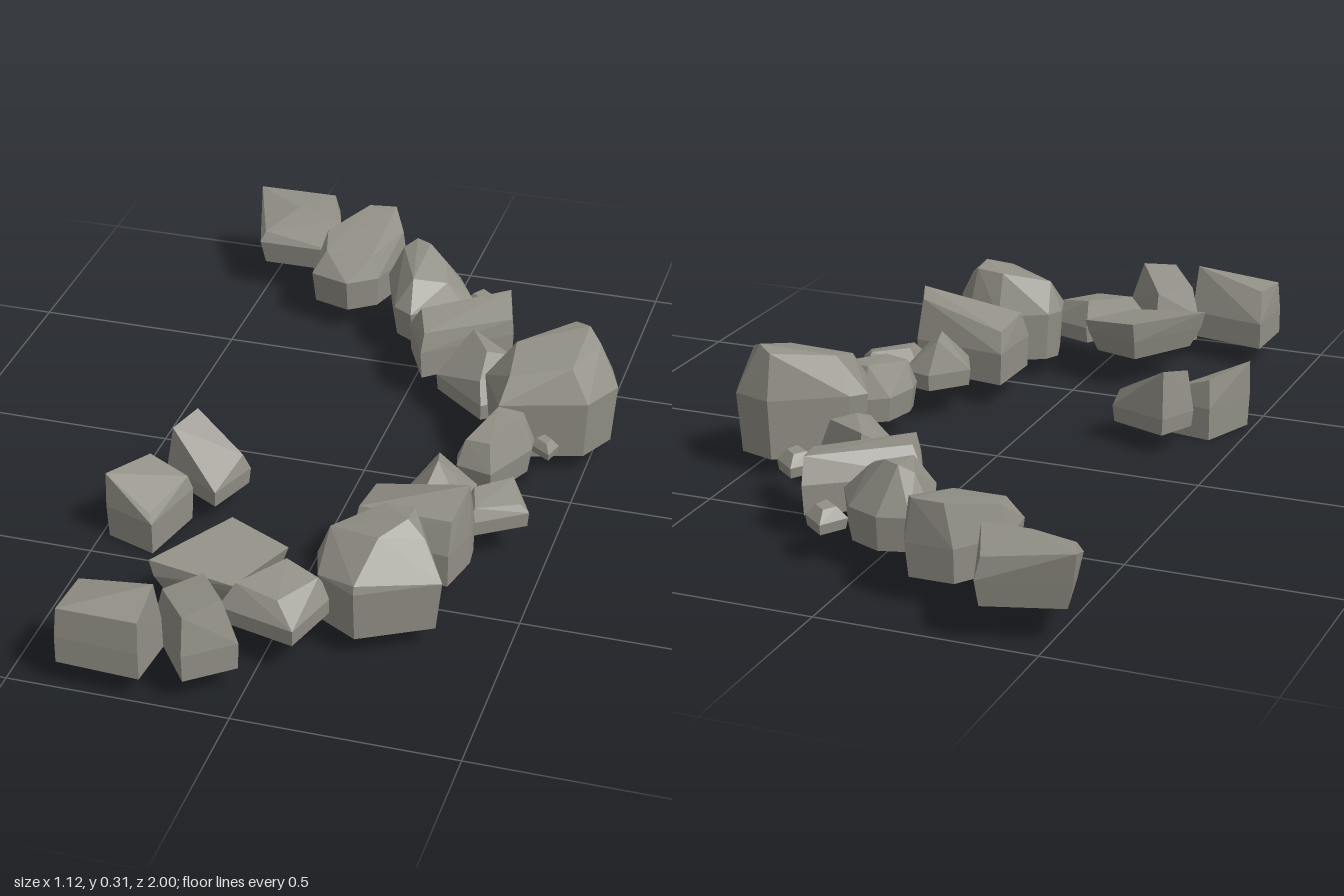
import * as THREE from 'three';
import { ConvexGeometry } from 'three/addons/geometries/ConvexGeometry.js';

export function createModel() {
  const group = new THREE.Group();
  const stone = new THREE.MeshStandardMaterial({ color: 0x929086, flatShading: true });
  stone.name = 'grey stone';

  // A faceted boulder: tapered base at y0, widest outline at yMid, and cut top corners.
  // outline is x,z pairs; top is x,y,z triples.
  function rock(name, y0, yMid, taper, outline, top) {
    const n = outline.length / 2, pts = [];
    let cx = 0, cz = 0;
    for (let i = 0; i < n; i++) {
      cx += outline[2 * i] / n;
      cz += outline[2 * i + 1] / n;
    }
    for (let i = 0; i < n; i++) {
      const x = outline[2 * i], z = outline[2 * i + 1];
      pts.push(new THREE.Vector3(cx + (x - cx) * taper, y0, cz + (z - cz) * taper));
      pts.push(new THREE.Vector3(x, yMid, z));
    }
    for (let i = 0; i < top.length; i += 3) pts.push(new THREE.Vector3(top[i], top[i + 1], top[i + 2]));
    const mesh = new THREE.Mesh(new ConvexGeometry(pts), stone);
    mesh.name = name;
    group.add(mesh);
  }

  // Back arm of the arc
  rock('backEndRock', 0.08, 0.14, 0.9,
    [-0.55, -0.94, -0.36, -1, -0.3, -0.82, -0.3, -0.775, -0.51, -0.775],
    [-0.56, 0.21, -0.95, -0.37, 0.19, -0.99, -0.31, 0.2, -0.84, -0.43, 0.21, -0.86, -0.5, 0.165, -0.79]);
  rock('backHexRock', 0.06, 0.14, 0.93,
    [-0.26, -0.87, -0.15, -0.87, -0.12, -0.8, -0.16, -0.67, -0.23, -0.62, -0.33, -0.65, -0.34, -0.75],
    [-0.24, 0.24, -0.87, -0.17, 0.243, -0.875, -0.13, 0.215, -0.8, -0.18, 0.195, -0.68, -0.3, 0.195, -0.68, -0.32, 0.21, -0.76]);
  rock('backRoundRock', 0.06, 0.14, 0.92,
    [-0.14, -0.7, -0.11, -0.75, -0.04, -0.77, 0.04, -0.735, 0.095, -0.64, 0.08, -0.6, -0.03, -0.51, -0.08, -0.54],
    [-0.1, 0.225, -0.7, -0.07, 0.245, -0.72, -0.03, 0.245, -0.7, 0.02, 0.215, -0.67, 0.04, 0.195, -0.6, -0.04, 0.21, -0.57]);
  rock('backSlabRock', 0.06, 0.13, 0.97,
    [-0.025, -0.485, 0.195, -0.645, 0.235, -0.51, 0.04, -0.35],
    [0.01, 0.19, -0.465, 0.2, 0.19, -0.62, 0.23, 0.17, -0.51, 0.045, 0.18, -0.365]);
  rock('backWedgeRock', 0.06, 0.1, 0.97,
    [0.09, -0.315, 0.155, -0.435, 0.295, -0.345, 0.29, -0.25, 0.23, -0.2],
    [0.155, 0.18, -0.42, 0.215, 0.185, -0.315, 0.27, 0.17, -0.34, 0.22, 0.15, -0.23]);

  // Large boulder at the bend and its neighbour
  rock('largeBoulder', 0.045, 0.19, 0.92,
    [0.24, -0.2, 0.27, -0.235, 0.43, -0.34, 0.525, -0.31, 0.555, -0.23, 0.505, -0.13, 0.305, -0.07],
    [0.31, 0.28, -0.22, 0.43, 0.3, -0.32, 0.47, 0.31, -0.29, 0.505, 0.29, -0.25, 0.46, 0.27, -0.15, 0.32, 0.25, -0.11]);
  rock('bendRock', 0.06, 0.12, 0.9,
    [0.26, -0.035, 0.31, -0.07, 0.395, -0.06, 0.4, -0.015, 0.335, 0.12, 0.25, 0.1, 0.24, 0.055],
    [0.31, 0.2, -0.05, 0.37, 0.195, -0.05, 0.365, 0.195, 0, 0.325, 0.185, 0.09, 0.265, 0.18, 0.08]);

  // Pebbles along the outer side
  const pebbles = [[0.108, -0.7, 0.048, 0.07, 0.12], [0.307, -0.437, 0.047, 0.075, 0.125], [0.42, -0.053, 0.034, 0.095, 0.13]];
  for (const [x, z, r, y0, y1] of pebbles) {
    rock('pebble', y0, (y0 + y1) / 2, 0.9,
      [x - r, z + 0.1 * r, x - 0.2 * r, z - 1.2 * r, x + r, z - 0.2 * r, x + 0.6 * r, z + 1.2 * r],
      [x - 0.5 * r, y1, z, x - 0.1 * r, y1, z - 0.6 * r, x + 0.5 * r, y1, z - 0.1 * r, x + 0.3 * r, y1, z + 0.6 * r]);
  }

  // Front arm of the arc
  rock('pointedRock', 0.08, 0.12, 0.95,
    [0.165, 0.23, 0.24, 0.145, 0.315, 0.165, 0.315, 0.295, 0.21, 0.325],
    [0.24, 0.21, 0.23, 0.23, 0.2, 0.18, 0.28, 0.17, 0.22]);
  rock('outerLowRock', 0.08, 0.115, 0.96,
    [0.305, 0.225, 0.405, 0.145, 0.455, 0.24, 0.33, 0.325],
    [0.325, 0.155, 0.23, 0.4, 0.155, 0.165, 0.435, 0.135, 0.24, 0.345, 0.145, 0.3]);
  rock('frontTallRock', 0.06, 0.14, 0.98,
    [0.115, 0.305, 0.355, 0.34, 0.36, 0.39, 0.335, 0.495, 0.11, 0.475],
    [0.125, 0.19, 0.33, 0.345, 0.24, 0.36, 0.355, 0.265, 0.39, 0.335, 0.215, 0.47, 0.12, 0.205, 0.45]);
  rock('frontBoulder', 0.05, 0.17, 0.92,
    [0.07, 0.6, 0.09, 0.56, 0.2, 0.495, 0.285, 0.51, 0.36, 0.64, 0.19, 0.735, 0.095, 0.68],
    [0.1, 0.245, 0.6, 0.2, 0.275, 0.525, 0.27, 0.28, 0.53, 0.27, 0.288, 0.59, 0.31, 0.25, 0.6, 0.22, 0.265, 0.645, 0.19, 0.19, 0.73]);
  rock('frontLeaningRock', 0.08, 0.13, 0.82,
    [-0.26, 0.73, -0.145, 0.545, -0.01, 0.585, -0.08, 0.74],
    [-0.27, 0.17, 0.73, -0.145, 0.18, 0.535, 0, 0.16, 0.585, -0.075, 0.15, 0.745]);
  rock('frontLowRock', 0.08, 0.12, 0.95,
    [-0.095, 0.785, 0.015, 0.635, 0.13, 0.675, 0.085, 0.83],
    [-0.06, 0.175, 0.765, 0.02, 0.185, 0.66, 0.1, 0.17, 0.69, 0.04, 0.165, 0.79]);
  rock('frontInnerRock', 0.055, 0.12, 0.97,
    [-0.215, 0.84, -0.13, 0.755, -0.01, 0.9, -0.11, 0.98],
    [-0.195, 0.19, 0.85, -0.13, 0.19, 0.77, -0.045, 0.225, 0.9, -0.11, 0.21, 0.965]);
  rock('frontEndRock', 0.055, 0.12, 1,
    [-0.385, 0.83, -0.19, 0.87, -0.2, 0.995, -0.39, 0.985],
    [-0.375, 0.195, 0.87, -0.195, 0.235, 0.9, -0.2, 0.195, 0.99, -0.385, 0.19, 0.98]);

  // Two loose rocks inside the arc, sloping toward +x
  rock('innerPeakRock', 0.05, 0.09, 0.95,
    [-0.405, 0.24, -0.36, 0.145, -0.215, 0.2, -0.26, 0.325],
    [-0.39, 0.19, 0.235, -0.355, 0.205, 0.16, -0.23, 0.13, 0.21]);
  rock('innerLowRock', 0, 0.08, 0.96,
    [-0.485, 0.43, -0.43, 0.285, -0.32, 0.305, -0.36, 0.475],
    [-0.485, 0.165, 0.425, -0.425, 0.15, 0.295, -0.33, 0.115, 0.31, -0.37, 0.1, 0.46]);

  return group;
}
